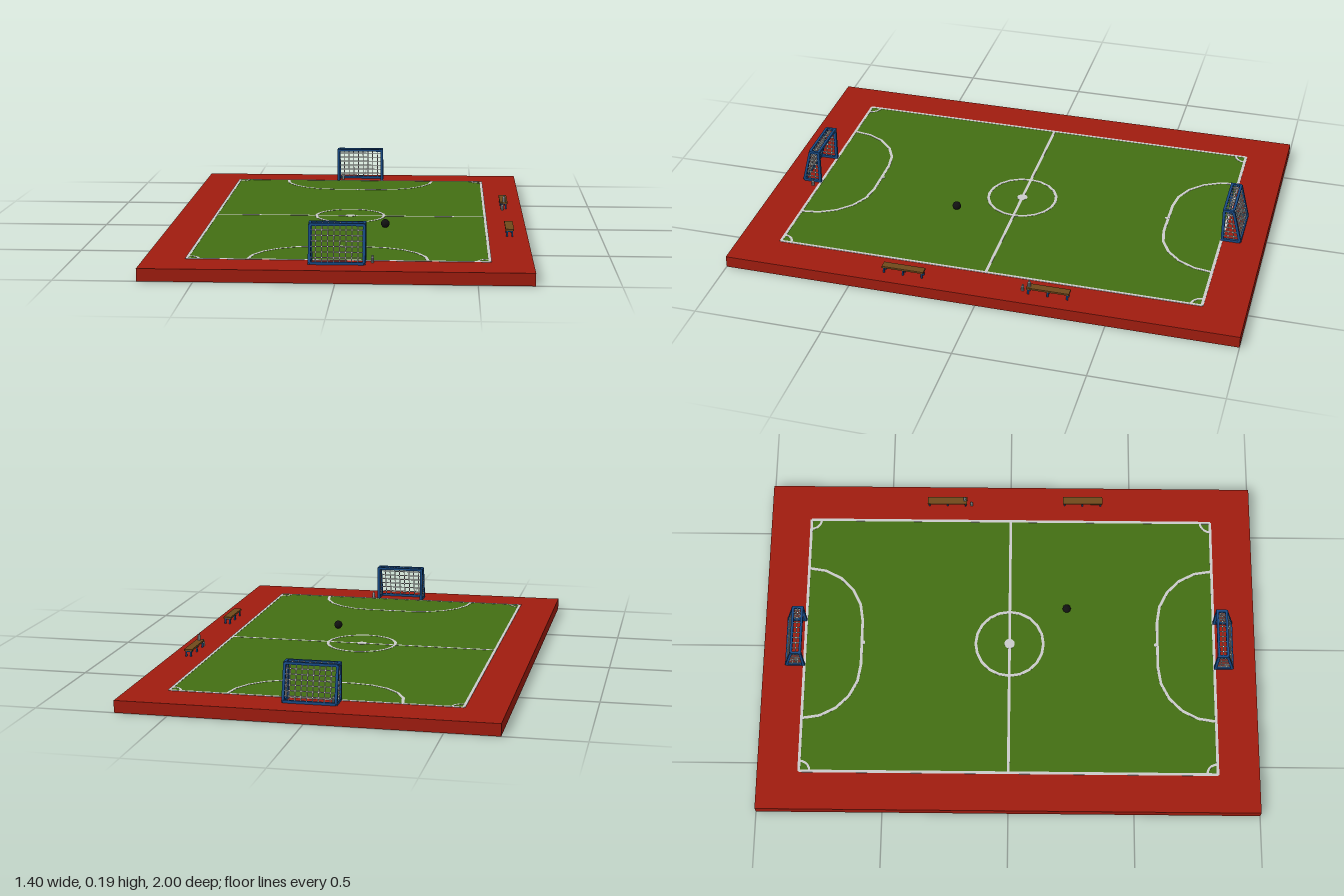
import * as THREE from 'three';
import { mergeGeometries } from 'three/addons/utils/BufferGeometryUtils.js';

const mat = (color) => new THREE.MeshStandardMaterial({ color, flatShading: true });
const red = mat(0xa01c0f), green = mat(0x436f13), white = mat(0xcccccc), blue = mat(0x174a86);
const brown = mat(0x70481a), black = mat(0x111111), grey = mat(0x8c9496);
const V = (x, y, z) => new THREE.Vector3(x, y, z);

function add(parent, name, geometry, material, x = 0, y = 0, z = 0) {
  const mesh = new THREE.Mesh(geometry, material);
  mesh.name = name;
  mesh.position.set(x, y, z);
  parent.add(mesh);
  return mesh;
}

// Square bar from a to b
function bar(a, b, width, height = width) {
  const g = new THREE.BoxGeometry(width, height, a.distanceTo(b));
  const m = new THREE.Matrix4().lookAt(b, a, Math.abs(b.y - a.y) > 0.9 * a.distanceTo(b) ? V(0, 0, 1) : V(0, 1, 0));
  m.setPosition(a.clone().lerp(b, 0.5));
  return g.applyMatrix4(m);
}

const FIELD_X = 0.545, FIELD_Z = 0.833, GROUND = 0.046, LINE_Y = 0.048;

// Painted line through [x, z] points
function stripe(points, width = 0.011) {
  const parts = [];
  for (let i = 1; i < points.length; i++) {
    const a = V(points[i - 1][0], LINE_Y, points[i - 1][1]);
    const b = V(points[i][0], LINE_Y, points[i][1]);
    const extra = b.clone().sub(a).setLength(0.001);
    parts.push(bar(a.sub(extra), b.add(extra), width, 0.0015));
  }
  return mergeGeometries(parts);
}

function arc(cx, cz, r, from, to, steps) {
  return Array.from({ length: steps + 1 }, (_, i) => {
    const t = from + (to - from) * i / steps;
    return [cx + r * Math.cos(t), cz + r * Math.sin(t)];
  });
}

// Goal with its mouth at z = 0 and its net leaning out towards +z
function createGoal(name) {
  const goal = new THREE.Group();
  goal.name = name;
  const W = 0.097, top = 0.14, low = 0.006, dTop = 0.036, dLow = 0.069;
  const depth = (y) => dLow + (dTop - dLow) * (y - low) / (top - low);
  const frame = [], net = [];
  for (const s of [-1, 1]) {
    const x = s * W;
    frame.push(bar(V(x, 0, 0), V(x, top + 0.005, 0), 0.011));
    frame.push(bar(V(x, low, dLow), V(x, top, dTop), 0.01));
    frame.push(bar(V(x, top, 0), V(x, top, dTop), 0.01));
    frame.push(bar(V(x, low, 0), V(x, low, dLow), 0.01));
  }
  for (const [y, z] of [[top, 0], [top, dTop], [low, dLow]])
    frame.push(bar(V(-W, y, z), V(W, y, z), 0.01));

  // Net cords on the back, roof and sides
  const T = 0.0035, cols = 9, rows = 7;
  for (let i = 1; i < cols; i++) {
    const x = -W + 2 * W * i / cols;
    net.push(bar(V(x, low, dLow), V(x, top, dTop), T));
    net.push(bar(V(x, top, 0), V(x, top, dTop), T));
  }
  for (let j = 1; j < rows; j++) {
    const y = low + (top - low) * j / rows, d = depth(y);
    net.push(bar(V(-W, y, d), V(W, y, d), T));
    for (const s of [-1, 1]) net.push(bar(V(s * W, y, 0), V(s * W, y, d), T));
  }
  net.push(bar(V(-W, top, dTop / 2), V(W, top, dTop / 2), T));
  for (const s of [-1, 1]) for (const f of [0.33, 0.67])
    net.push(bar(V(s * W, low, dLow * f), V(s * W, top, dTop * f), T));

  add(goal, 'goalFrame', mergeGeometries(frame), blue);
  add(goal, 'goalNet', mergeGeometries(net), white);
  return goal;
}

function createBench(name, x, z) {
  const bench = new THREE.Group();
  bench.name = name;
  bench.position.set(x, GROUND, z);
  add(bench, 'benchSeat', new THREE.BoxGeometry(0.032, 0.007, 0.165), brown, 0, 0.0265, 0);
  const legs = [];
  for (const dz of [-0.075, 0, 0.075]) {
    for (const dx of [-0.01, 0.01])
      legs.push(new THREE.BoxGeometry(0.006, 0.024, 0.006).translate(dx, 0.012, dz));
    legs.push(new THREE.BoxGeometry(0.026, 0.004, 0.006).translate(0, 0.021, dz));
  }
  add(bench, 'benchLegs', mergeGeometries(legs), blue);
  return bench;
}

export function createModel() {
  const model = new THREE.Group();
  model.name = 'footballPitch';
  add(model, 'base', new THREE.BoxGeometry(1.4, GROUND, 2), red, 0, GROUND / 2, 0);
  add(model, 'grass', new THREE.BoxGeometry(2 * FIELD_X, 0.003, 2 * FIELD_Z), green, 0, 0.0465, 0);

  // Markings
  const X = FIELD_X, Z = FIELD_Z, P = Math.PI;
  add(model, 'boundaryLine', stripe([[-X, -Z], [X, -Z], [X, Z], [-X, Z], [-X, -Z]]), white);
  add(model, 'halfwayLine', stripe([[-X, 0], [X, 0]]), white);
  add(model, 'centreCircle', stripe(arc(0, 0, 0.138, 0, 2 * P, 20)), white);
  add(model, 'centreSpot', new THREE.CylinderGeometry(0.021, 0.021, 0.002, 16), white, 0, LINE_Y, 0);
  for (const s of [-1, 1]) {
    const area = [...arc(0.095, -Z, 0.23, 0, P / 2, 5), ...arc(-0.095, -Z, 0.23, P / 2, P, 5)];
    add(model, 'penaltyArea', stripe(area.map(([x, z]) => [x, s * z])), white);
    add(model, 'penaltySpot', new THREE.CylinderGeometry(0.008, 0.008, 0.002, 12), white, 0, LINE_Y, s * 0.597);
    for (const t of [-1, 1]) {
      const corner = arc(-X, -Z, 0.042, 0, P / 2, 5).map(([x, z]) => [t * x, s * z]);
      add(model, 'cornerArc', stripe(corner, 0.009), white);
    }
  }

  // Goals
  const front = createGoal('frontGoal');
  front.position.set(0, GROUND, Z + 0.003);
  const back = createGoal('backGoal');
  back.position.set(0, GROUND, -Z - 0.003);
  back.rotation.y = P;
  model.add(front, back);

  // Benches, ball and bottles
  model.add(createBench('frontBench', 0.631, 0.3), createBench('backBench', 0.626, -0.266));
  add(model, 'ball', new THREE.IcosahedronGeometry(0.017, 2), black, 0.15, 0.064, 0.233);
  const profile = [[0, 0], [0.006, 0], [0.006, 0.018], [0.003, 0.022], [0.003, 0.027], [0, 0.027]];
  const bottle = new THREE.LatheGeometry(profile.map(([x, y]) => new THREE.Vector2(x, y)), 10);
  for (const [x, y, z] of [[0.62, GROUND, -0.165], [0.628, 0.076, -0.193], [0.126, GROUND, 0.858], [-0.08, GROUND, -0.868]])
    add(model, 'bottle', bottle, grey, x, y, z);
  return model;
}
